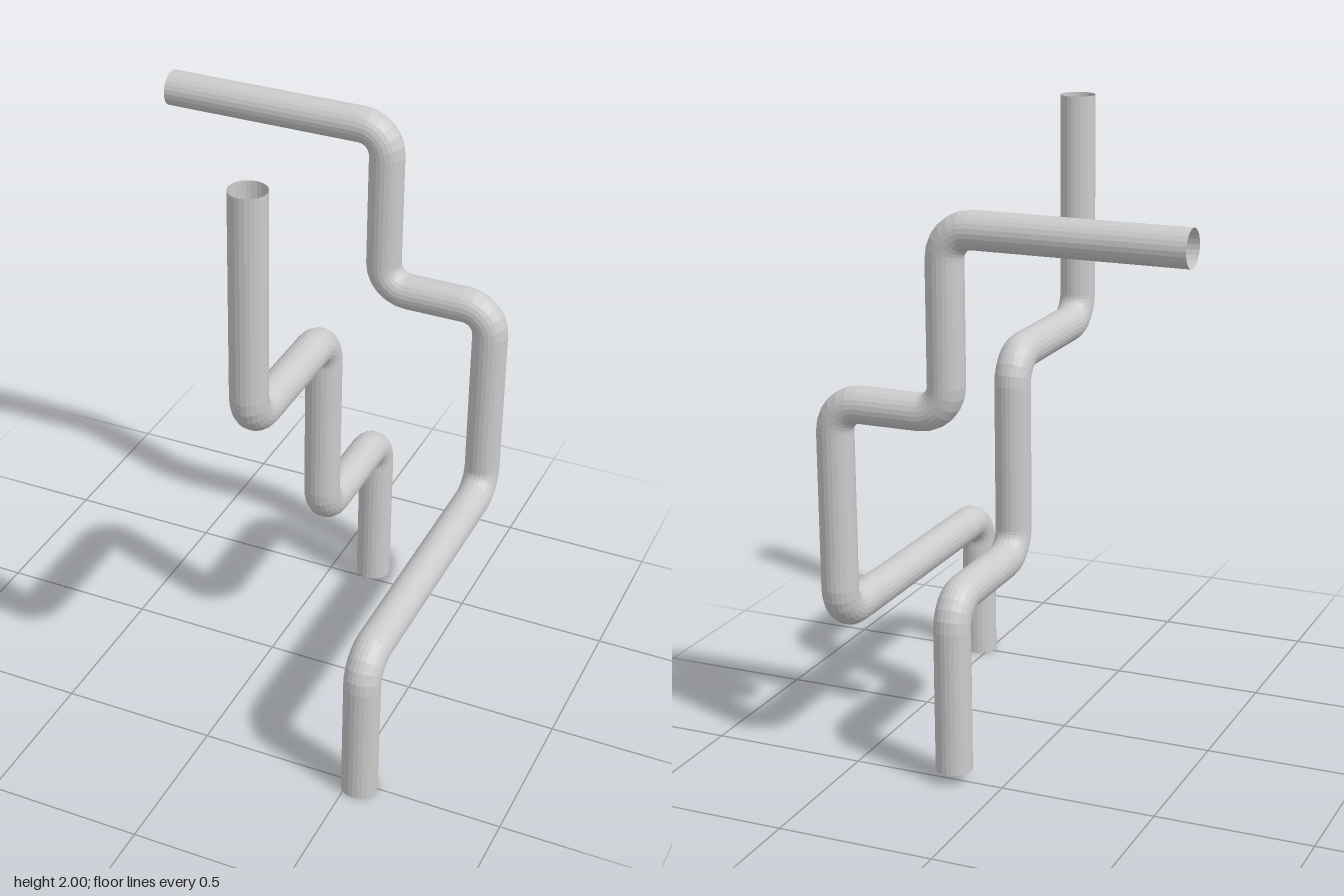
import * as THREE from 'three';

const RADIUS = 0.058, BEND = 0.09, SIDES = 24, BEND_STEPS = 6;

const material = new THREE.MeshStandardMaterial({
  color: 0xcccccc, flatShading: true, side: THREE.DoubleSide,
});

// Centre line stations (position + direction) with a round elbow at each corner
function stations(corners) {
  const p = corners.map((c) => new THREE.Vector3(...c));
  const dir = (i) => p[i + 1].clone().sub(p[i]).normalize();
  const list = [{ pos: p[0], tan: dir(0) }];
  for (let i = 1; i < p.length - 1; i++) {
    const a = dir(i - 1), b = dir(i);
    const centre = p[i].clone().addScaledVector(a, -BEND).addScaledVector(b, BEND);
    for (let k = 0; k <= BEND_STEPS; k++) {
      const t = (k / BEND_STEPS) * Math.PI / 2, s = Math.sin(t), c = Math.cos(t);
      list.push({
        pos: centre.clone().addScaledVector(a, BEND * s).addScaledVector(b, -BEND * c),
        tan: a.clone().multiplyScalar(c).addScaledVector(b, s),
      });
    }
  }
  list.push({ pos: p[p.length - 1], tan: dir(p.length - 2) });
  return list;
}

// Open-ended pipe: a ring carried along the centre line without twisting
function pipe(name, corners) {
  const path = stations(corners);
  const u = new THREE.Vector3(1, 0, 0), turn = new THREE.Quaternion();
  const positions = [], index = [];
  path.forEach(({ pos, tan }, i) => {
    if (i > 0) u.applyQuaternion(turn.setFromUnitVectors(path[i - 1].tan, tan));
    const v = tan.clone().cross(u);
    for (let j = 0; j < SIDES; j++) {
      const t = (j / SIDES) * Math.PI * 2;
      const q = pos.clone().addScaledVector(u, RADIUS * Math.cos(t)).addScaledVector(v, RADIUS * Math.sin(t));
      positions.push(q.x, q.y, q.z);
      if (i > 0) {
        const j2 = (j + 1) % SIDES, lo = (i - 1) * SIDES, hi = i * SIDES;
        index.push(lo + j, lo + j2, hi + j2, lo + j, hi + j2, hi + j);
      }
    }
  });
  const geometry = new THREE.BufferGeometry();
  geometry.setAttribute('position', new THREE.Float32BufferAttribute(positions, 3));
  geometry.setIndex(index);
  geometry.computeVertexNormals();
  const mesh = new THREE.Mesh(geometry, material);
  mesh.name = name;
  return mesh;
}

export function createModel() {
  const group = new THREE.Group();
  group.name = 'pipes';

  // Pipe stepping down from front to back
  group.add(pipe('steppedPipe', [
    [0.16, 0.04, -0.504], [0.16, 0.595, -0.504], [0.16, 0.595, -0.037],
    [0.16, 1.25, -0.037], [0.16, 1.25, 0.504], [0.16, 2, 0.504],
  ]));

  // Pipe rising from the front, running back, then stepping up to the side
  group.add(pipe('cornerPipe', [
    [0.538, 0, 0.512], [0.538, 0.498, 0.512], [0.538, 0.498, -0.512],
    [0.538, 1.185, -0.512], [0.162, 1.185, -0.512],
    [0.162, 1.747, -0.512], [-0.597, 1.747, -0.512],
  ]));

  return group;
}
